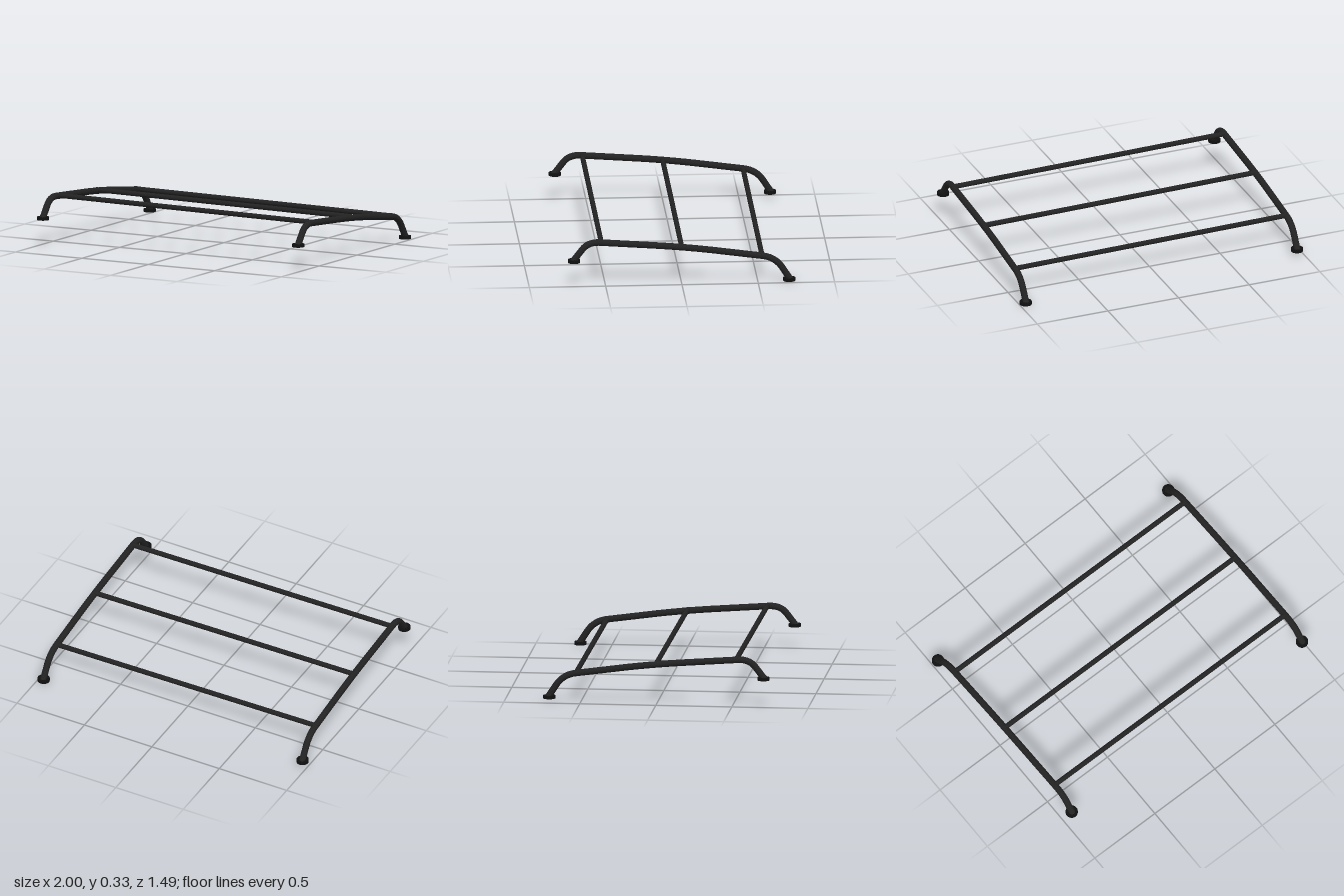
import * as THREE from 'three';

const SIDE_X = 0.96;   // rail offset from centre
const TILT = 0.0105;   // the right rail sits a little higher than the left
const RAIL_R = 0.0215, BAR_R = 0.0165, FOOT_R = 0.04, FOOT_H = 0.02;

const railMaterial = new THREE.MeshStandardMaterial({ color: 0x222222 });
const footMaterial = new THREE.MeshStandardMaterial({ color: 0x101010 });

const p = (z, y) => new THREE.Vector3(0, y, z);

// Bent tube centreline from the front foot to the back foot
function railPath() {
  const path = new THREE.CurvePath();
  const line = (a, b) => path.add(new THREE.LineCurve3(a, b));
  const bend = (a, c, b) => path.add(new THREE.QuadraticBezierCurve3(a, c, b));
  line(p(0.712, 0.168), p(0.65, 0.248));
  bend(p(0.65, 0.248), p(0.61, 0.3), p(0.53, 0.2925));
  line(p(0.53, 0.2925), p(0.2, 0.268));
  bend(p(0.2, 0.268), p(0, 0.2535), p(-0.2, 0.2275));
  line(p(-0.2, 0.2275), p(-0.53, 0.182));
  bend(p(-0.53, 0.182), p(-0.61, 0.171), p(-0.655, 0.107));
  line(p(-0.655, 0.107), p(-0.713, 0.018));
  return path;
}

export function createModel() {
  const group = new THREE.Group();
  const add = (name, geometry, material, x, y, z) => {
    const mesh = new THREE.Mesh(geometry, material);
    mesh.name = name;
    mesh.position.set(x, y, z);
    group.add(mesh);
    return mesh;
  };

  // Side rails, each with a round foot at both ends
  const railGeometry = new THREE.TubeGeometry(railPath(), 120, RAIL_R, 24);
  const footGeometry = new THREE.CylinderGeometry(FOOT_R, FOOT_R, FOOT_H, 32);
  for (const [side, s] of [['left', 1], ['right', -1]]) {
    const x = s * SIDE_X, lift = -s * TILT;
    add(side + 'Rail', railGeometry, railMaterial, x, lift, 0);
    add(side + 'FrontFoot', footGeometry, footMaterial, x, 0.17 + lift, 0.705);
    add(side + 'BackFoot', footGeometry, footMaterial, x, 0.0205 + lift, -0.705);
  }

  // Crossbars, sloping with the height difference of the rails
  const length = Math.hypot(2 * SIDE_X, 2 * TILT);
  const barGeometry = new THREE.CylinderGeometry(BAR_R, BAR_R, length, 24);
  const bars = [['front', 0.298, 0.527], ['middle', 0.258, 0], ['back', 0.187, -0.527]];
  for (const [name, y, z] of bars) {
    const bar = add(name + 'Crossbar', barGeometry, railMaterial, 0, y, z);
    bar.rotation.z = Math.PI / 2 - Math.atan2(TILT, SIDE_X);
  }
  return group;
}
